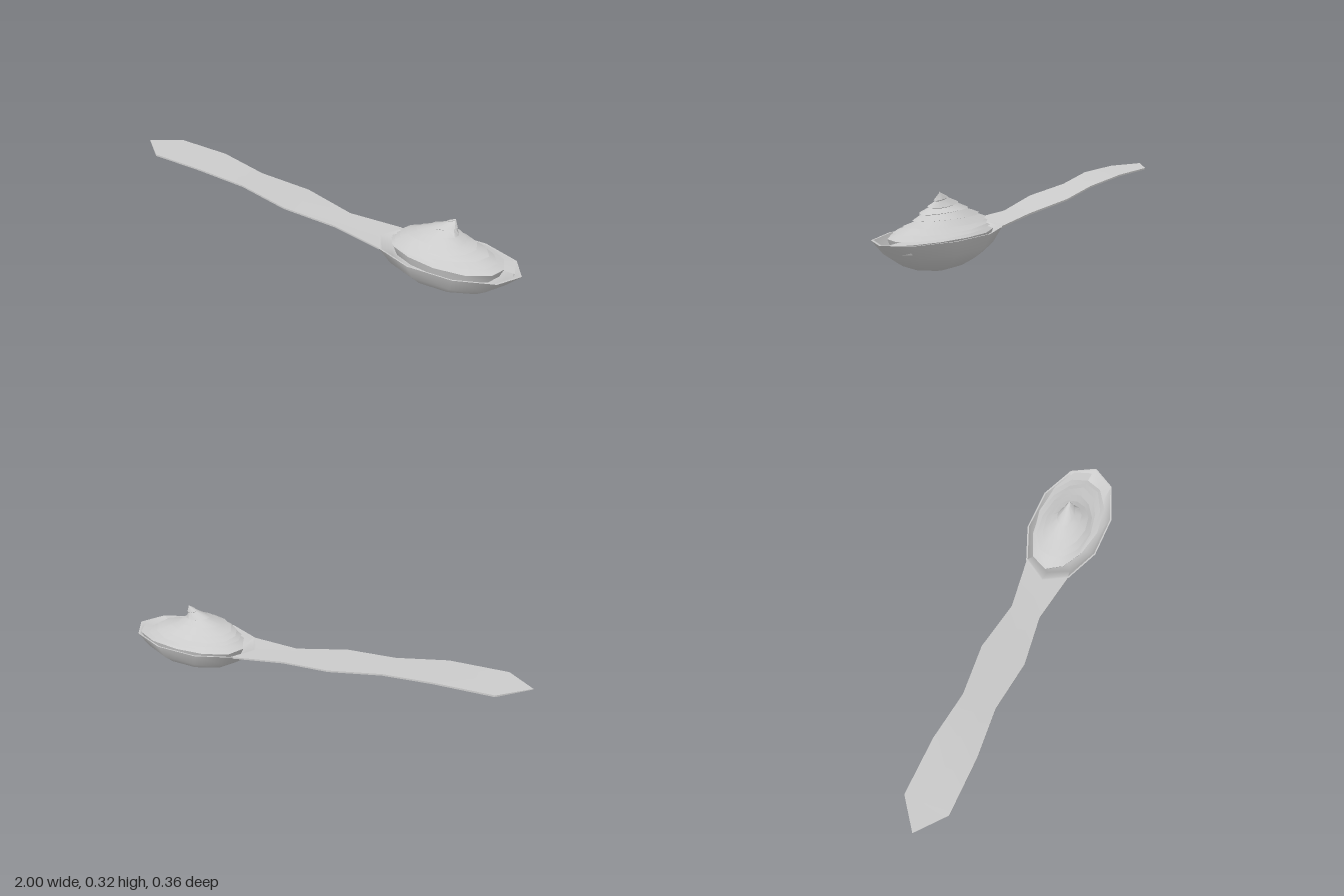
import * as THREE from 'three';
import { toCreasedNormals } from 'three/addons/utils/BufferGeometryUtils.js';

const material = new THREE.MeshStandardMaterial({ color: 0xcccccc, side: THREE.DoubleSide });

// Skin a list of equal-length cross-sections (arrays of [x, y, z])
function skin(sections, crease) {
  const n = sections[0].length, index = [];
  for (let i = 0; i < sections.length - 1; i++) {
    for (let j = 0; j < n - 1; j++) {
      const a = i * n + j, b = a + 1, c = b + n, d = a + n;
      index.push(a, b, d, b, c, d);
    }
  }
  const geo = new THREE.BufferGeometry();
  geo.setAttribute('position', new THREE.Float32BufferAttribute(sections.flat(2), 3));
  geo.setIndex(index);
  return toCreasedNormals(geo, crease);
}

function addPart(group, name, geometry) {
  const mesh = new THREE.Mesh(geometry, material);
  mesh.name = name;
  group.add(mesh);
  return mesh;
}

// Ten-sided oval bowl with a thin wall: outer profile up, inner profile down
function bowlGeometry() {
  const outer = [[0, 0], [0.14, 0.001], [0.445, 0.02], [0.7, 0.05], [0.895, 0.088], [1, 0.148]];
  const inner = outer.slice().reverse().map(([r, y], i) => [r * 0.965, i ? y + 0.008 : y]);
  const profile = [...outer, ...inner].map(([r, y]) => new THREE.Vector2(r, y));
  const geo = new THREE.LatheGeometry(profile, 10, Math.PI / 2);
  const p = geo.attributes.position;
  // the ends slope in more than the sides
  for (let i = 0; i < p.count; i++) if (p.getY(i) < 0.12) p.setX(i, p.getX(i) * 0.91);
  geo.scale(0.335, 1, 0.188);
  return toCreasedNormals(geo, 1);
}

// Flat wavy handle; each station: x, top y, half width, x of the centre line
function handleGeometry() {
  const thick = 0.008;
  const stations = [
    [-1, 0.301, 0, -1], [-0.87, 0.291, 0.105, -0.87], [-0.6, 0.279, 0.105, -0.6],
    [-0.36, 0.243, 0.08, -0.36], [-0.11, 0.209, 0.107, -0.11],
    [0.14, 0.17, 0.071, 0.14], [0.39, 0.15, 0.108, 0.328],
  ];
  return skin(stations.map(([x, y, w, cx]) => {
    const b = y - (w ? thick : 0.003);
    const cy = y + (cx - x) * -0.03;
    return [[x, y, -w], [cx, cy, 0], [x, y, w], [x, b, w], [cx, cy - thick * (w ? 1 : 0.4), 0], [x, b, -w], [x, y, -w]];
  }), 0.6);
}

// Whipped swirl: a spiral whose sharp lip alternates with a notch under the next lip
function swirlGeometry() {
  // per turn: centre x, centre z, radius x, radius z, height
  const turns = [
    [0.68, -0.01, 0.285, 0.155, 0.145], [0.66, -0.01, 0.265, 0.15, 0.155],
    [0.645, -0.01, 0.24, 0.14, 0.172], [0.628, -0.008, 0.212, 0.127, 0.19],
    [0.615, -0.002, 0.175, 0.112, 0.21], [0.615, 0, 0.132, 0.088, 0.235],
    [0.625, -0.002, 0.082, 0.055, 0.258], [0.648, -0.012, 0.046, 0.028, 0.283],
    [0.68, -0.02, 0, 0, 0.322],
  ];
  const sides = 12, last = turns.length - 1;
  const at = (t) => {
    const s = Math.min(Math.max(t, 0), last), i = Math.min(Math.floor(s), last - 1);
    return turns[i].map((v, k) => v + (turns[i + 1][k] - v) * (s - i));
  };
  const point = (t, angle, shrink, drop) => {
    const [cx, cz, rx, rz, y] = at(t);
    // gentle unevenness that follows the spiral
    const f = shrink * (1 + 0.035 * Math.sin(t * 17.3));
    const lift = t < last - 1 ? 0.004 * Math.sin(t * 11.1) : 0;
    return [cx + rx * f * Math.cos(angle), y - drop + lift, cz - rz * f * Math.sin(angle)];
  };
  const rows = [];
  const row = (start, shrink, drop) => rows.push(Array.from({ length: sides + 1 }, (_, i) =>
    point(start + i / sides, (i / sides) * Math.PI * 2, shrink, drop)));
  row(0, 0.93, 0.04);
  for (let k = 0; k < last; k++) {
    row(k, 1, 0);
    row(k + 1, 0.87, 0.003);
  }
  row(last, 1, 0);
  return skin(rows, 0.7);
}

export function createModel() {
  const spoon = new THREE.Group();
  spoon.name = 'spoonWithCream';
  addPart(spoon, 'bowl', bowlGeometry()).position.x = 0.662;
  addPart(spoon, 'handle', handleGeometry());
  addPart(spoon, 'creamSwirl', swirlGeometry());
  return spoon;
}
